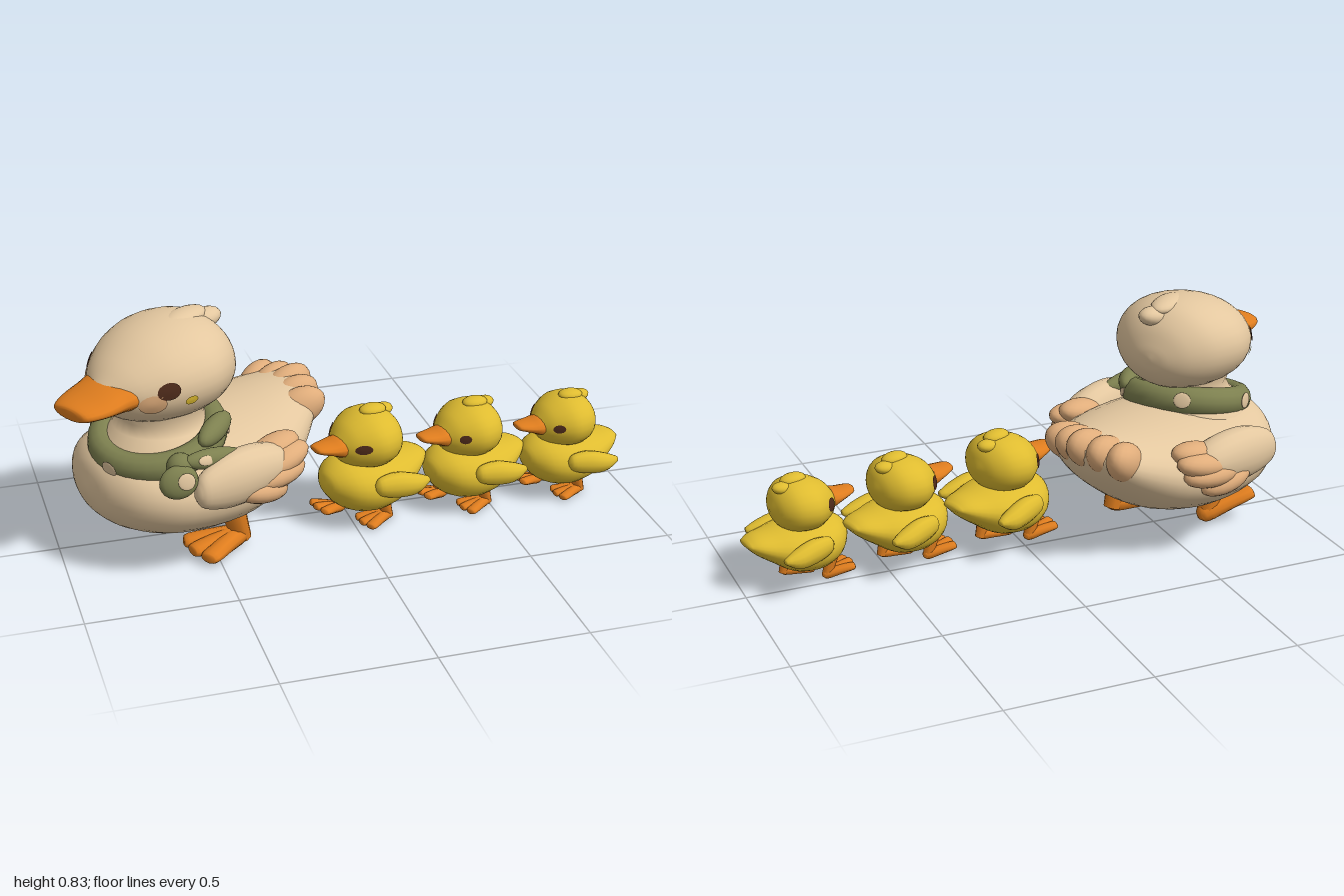
import * as THREE from 'three';

const mat = (name, color, side = THREE.FrontSide) => {
  const m = new THREE.MeshStandardMaterial({ color, side });
  m.name = name;
  return m;
};

// Smooth surface through stations [x, y, z, halfHeight, halfWidth], x rising
function surface(st) {
  const mid = new THREE.CatmullRomCurve3(st.map(s => new THREE.Vector3(s[0], s[1], s[2])), false, 'catmullrom', 0.5);
  const rad = new THREE.CatmullRomCurve3(st.map(s => new THREE.Vector3(s[3], s[4], 0)), false, 'catmullrom', 0.5);
  return (t, a, grow = 0) => {
    const c = mid.getPoint(t), r = rad.getPoint(t);
    c.y += (Math.max(r.x, 0.002) + grow) * Math.cos(a);
    c.z += (Math.max(r.y, 0.002) + grow) * Math.sin(a);
    return c;
  };
}

function buildGeometry(points, index) {
  const g = new THREE.BufferGeometry().setFromPoints(points);
  g.setIndex(index);
  g.computeVertexNormals();
  return g;
}

// Closed solid from the stations
function loft(st, rows = 24, seg = 24) {
  const f = surface(st), pts = [], idx = [];
  for (let i = 0; i <= rows; i++)
    for (let j = 0; j < seg; j++) pts.push(f(i / rows, j / seg * Math.PI * 2));
  const first = pts.length, last = rows * seg;
  for (const s of [st[0], st[st.length - 1]]) pts.push(new THREE.Vector3(s[0], s[1], s[2]));
  for (let j = 0; j < seg; j++) {
    const k = (j + 1) % seg;
    for (let i = 0; i < rows; i++) {
      const a = i * seg, b = a + seg;
      idx.push(a + j, a + k, b + j, a + k, b + k, b + j);
    }
    idx.push(first, k, j, first + 1, last + j, last + k);
  }
  return buildGeometry(pts, idx);
}

// Thin oval laid on a lofted surface
function patch(st, t, a, rt, ra) {
  const f = surface(st), n = 16, rings = 3, pts = [f(t, a, 0.005)], idx = [];
  for (let r = 1; r <= rings; r++)
    for (let j = 0; j < n; j++) {
      const w = j / n * Math.PI * 2, k = r / rings;
      pts.push(f(t + rt * k * Math.cos(w), a + ra * k * Math.sin(w), 0.004));
      const j2 = (j + 1) % n, o = 1 + (r - 1) * n, p = o - n;
      if (r === 1) idx.push(0, o + j, o + j2);
      else idx.push(p + j, o + j, o + j2, p + j, o + j2, p + j2);
    }
  return buildGeometry(pts, idx);
}

function add(parent, name, geo, material, pos = [0, 0, 0], rot = [0, 0, 0], scale = [1, 1, 1]) {
  const m = new THREE.Mesh(geo, material);
  m.name = name;
  m.position.set(...pos);
  m.rotation.set(...rot);
  m.scale.set(...scale);
  parent.add(m);
  return m;
}

function group(parent, name, pos = [0, 0, 0], yaw = 0) {
  const g = new THREE.Group();
  g.name = name;
  g.position.set(...pos);
  g.rotation.y = yaw;
  parent.add(g);
  return g;
}

export function createModel() {
  const model = new THREE.Group();
  model.name = 'duckFamily';
  const cream = mat('cream', 0xe3c79f), tan = mat('tan', 0xe0ad7b, THREE.DoubleSide);
  const yellow = mat('yellow', 0xdfbc30, THREE.DoubleSide), orange = mat('orange', 0xdf7d1e);
  const green = mat('green', 0x7d804f), brown = mat('brown', 0x4d2a1a, THREE.DoubleSide);
  const ball = new THREE.SphereGeometry(1, 18, 12);

  // Webbed foot: heel at the origin, toes towards -x
  const toeGeo = loft([[-0.185, 0.02, 0, 0.01, 0.014], [-0.17, 0.022, 0, 0.02, 0.034], [-0.08, 0.03, 0, 0.028, 0.033],
    [0, 0.034, 0, 0.03, 0.03], [0.025, 0.034, 0, 0.008, 0.008]], 12, 10);
  const webGeo = loft([[-0.155, 0.018, 0, 0.012, 0.075], [-0.08, 0.024, 0, 0.02, 0.055], [0, 0.03, 0, 0.02, 0.02]], 8, 12);
  const legGeo = new THREE.CylinderGeometry(0.044, 0.03, 0.14, 10);
  function foot(parent, x, y, z, s, tilt) {
    const g = group(parent, 'foot', [x, y, z]);
    g.scale.setScalar(s);
    const sole = group(g, 'sole');
    sole.rotation.z = -tilt;
    for (const k of [-1, 0, 1]) add(sole, 'toe', toeGeo, orange, [0, 0, 0], [0, k * 0.4, 0]);
    add(sole, 'web', webGeo, orange);
    add(g, 'leg', legGeo, orange, [-0.012, 0.085, 0], [0, 0, 0.3]);
  }

  // Mother body
  const mother = group(model, 'motherDuck', [-0.52, 0, 0], 0.35);
  add(mother, 'body', loft([[-0.425, 0.29, 0, 0.02, 0.02], [-0.4, 0.295, 0, 0.09, 0.13], [-0.33, 0.29, 0, 0.145, 0.235],
    [-0.2, 0.275, 0, 0.172, 0.31], [0, 0.275, 0, 0.178, 0.335], [0.18, 0.298, -0.01, 0.16, 0.3], [0.32, 0.345, -0.03, 0.12, 0.225],
    [0.42, 0.395, -0.045, 0.075, 0.15], [0.465, 0.42, -0.05, 0.02, 0.07]], 32, 32), cream);
  foot(mother, 0.06, 0.005, 0.165, 1.05, 0.05);
  foot(mother, -0.115, 0.012, -0.13, 1.05, 0.45);

  // Tail fan
  for (let k = -2; k <= 2; k++)
    add(mother, 'tailFeather', ball, tan, [0.4 - 0.02 * Math.abs(k), 0.415 - 0.012 * Math.abs(k), -0.045 + 0.062 * k],
      [0, -0.2 * k, 0.45], [0.105, 0.068, 0.058]);

  // Mother wings with darker feather tips
  const wingGeo = loft([[-0.21, 0.34, 0, 0.02, 0.015], [-0.18, 0.345, 0, 0.062, 0.04], [-0.08, 0.35, 0, 0.093, 0.066],
    [0.03, 0.352, 0, 0.09, 0.072], [0.12, 0.35, 0, 0.065, 0.06], [0.17, 0.35, 0, 0.02, 0.02]], 20, 18);
  for (const s of [1, -1]) {
    const wing = group(mother, s > 0 ? 'leftWing' : 'rightWing', [0, 0, s * 0.313], s * 0.1);
    add(wing, 'wingTop', wingGeo, cream);
    for (const [x, y, z, r, l] of [[0.13, 0.385, -0.025, 0.2, 0.1], [0.13, 0.36, 0.014, 0.2, 0.11],
      [0.1, 0.322, 0.024, 0.05, 0.115], [0.035, 0.286, 0.024, -0.2, 0.105]])
      add(wing, 'wingFeather', ball, tan, [x, y, s * z], [0, 0, r], [l, 0.044, 0.058]);
  }

  // Neck
  add(model, 'neck', new THREE.LatheGeometry([[0.24, 0.36], [0.215, 0.42], [0.16, 0.475], [0.142, 0.51], [0.16, 0.56], [0.17, 0.6]]
    .map(p => new THREE.Vector2(...p)), 28), cream, [-0.65, 0, 0.075]);

  // Mother head
  const head = group(model, 'motherHead', [-0.64, 0, 0.068], 0.57);
  const headSt = [[-0.28, 0.645, 0, 0.02, 0.03], [-0.26, 0.645, 0, 0.045, 0.065], [-0.2, 0.647, 0, 0.1, 0.14],
    [-0.1, 0.658, 0, 0.145, 0.208], [0.02, 0.668, 0, 0.162, 0.236], [0.13, 0.669, 0, 0.15, 0.203],
    [0.2, 0.66, 0, 0.108, 0.14], [0.235, 0.65, 0, 0.05, 0.07], [0.245, 0.65, 0, 0.01, 0.01]];
  add(head, 'skull', loft(headSt, 32, 32), cream);
  add(head, 'beak', loft([[-0.402, 0.63, 0, 0.014, 0.04], [-0.39, 0.631, 0, 0.024, 0.08], [-0.33, 0.635, 0, 0.032, 0.108],
    [-0.26, 0.642, 0, 0.046, 0.118], [-0.21, 0.646, 0, 0.053, 0.122], [-0.16, 0.646, 0, 0.03, 0.06]], 20, 20), orange);
  for (const s of [1, -1]) {
    add(head, 'eye', patch(headSt, 0.325, s * 1.43, 0.038, 0.21), brown);
    add(head, 'cheek', patch(headSt, 0.268, s * 1.74, 0.05, 0.3), tan);
    add(head, 'cheekSpot', patch(headSt, 0.4, s * 1.76, 0.022, 0.1), yellow);
  }
  add(head, 'crestFeather', ball, cream, [0.09, 0.808, 0.02], [0, 0.1, 0], [0.1, 0.028, 0.05]);
  add(head, 'crestFeather', ball, cream, [0.165, 0.782, 0.03], [0, -0.15, 0.15], [0.07, 0.034, 0.045]);

  // Neckerchief with knot, ends and pale patches
  const scarf = group(model, 'scarf', [-0.665, 0.438, 0.095]);
  scarf.rotation.set(0.18, 0, 0.15);
  add(scarf, 'scarfBand', new THREE.TorusGeometry(0.187, 0.045, 12, 36), green, [0, 0, 0], [Math.PI / 2, 0, 0], [1, 1, 1.1]);
  for (const a of [-0.95, -2.5, 1.3, 2.6])
    add(scarf, 'scarfPatch', ball, cream, [0.231 * Math.sin(a), 0.005, 0.231 * Math.cos(a)], [0, a, 0], [0.03, 0.028, 0.005]);
  add(model, 'scarfKnot', ball, green, [-0.64, 0.42, 0.325], [0, 0, 0], [0.045, 0.045, 0.045]);
  add(model, 'scarfEnd', ball, green, [-0.655, 0.388, 0.368], [-0.25, 0, 0.2], [0.064, 0.055, 0.03]);
  add(model, 'scarfEnd', ball, green, [-0.53, 0.43, 0.315], [-0.2, 0.3, -0.05], [0.11, 0.034, 0.032]);
  add(model, 'scarfLoop', ball, green, [-0.5, 0.48, 0.21], [0, 0.9, 0.1], [0.1, 0.04, 0.038]);
  add(model, 'scarfPatch', ball, cream, [-0.635, 0.4, 0.397], [-0.25, 0, 0.2], [0.028, 0.028, 0.005]);
  add(model, 'scarfPatch', ball, cream, [-0.56, 0.442, 0.351], [-0.35, 0.3, 0], [0.028, 0.016, 0.005]);

  // Duckling shapes
  const babyBody = loft([[-0.165, 0.17, 0, 0.01, 0.01], [-0.15, 0.17, 0, 0.045, 0.06], [-0.1, 0.16, 0, 0.085, 0.12],
    [-0.02, 0.152, 0, 0.1, 0.152], [0.07, 0.155, 0, 0.09, 0.145], [0.14, 0.172, 0, 0.062, 0.11],
    [0.2, 0.19, 0, 0.036, 0.075], [0.235, 0.2, 0, 0.01, 0.04]]);
  const babyHeadSt = [[-0.125, 0.3, 0, 0.015, 0.02], [-0.11, 0.3, 0, 0.042, 0.052], [-0.075, 0.305, 0, 0.076, 0.095],
    [-0.01, 0.31, 0, 0.1, 0.136], [0.06, 0.312, 0, 0.095, 0.125], [0.105, 0.31, 0, 0.062, 0.078], [0.125, 0.31, 0, 0.012, 0.015]];
  const babyHead = loft(babyHeadSt);
  const babyBeak = loft([[-0.207, 0.318, 0, 0.007, 0.016], [-0.195, 0.316, 0, 0.014, 0.036], [-0.145, 0.308, 0, 0.024, 0.054],
    [-0.105, 0.304, 0, 0.036, 0.058], [-0.07, 0.304, 0, 0.02, 0.04]], 14, 14);
  const babyWing = loft([[-0.085, 0.185, 0, 0.01, 0.008], [-0.065, 0.184, 0, 0.034, 0.026], [0, 0.178, 0, 0.046, 0.038],
    [0.07, 0.168, 0, 0.036, 0.036], [0.12, 0.172, 0, 0.01, 0.014]], 14, 12);

  // Three ducklings in a row: x, size, yaw, eye length
  for (const [x, s, yaw, eye] of [[0.05, 1, 0.32, 0.075], [0.42, 0.95, 0.27, 0.055], [0.775, 0.91, 0.18, 0.06]]) {
    const d = group(model, 'duckling', [x, 0, 0.07], yaw);
    d.scale.setScalar(s);
    add(d, 'body', babyBody, yellow);
    add(d, 'head', babyHead, yellow);
    add(d, 'beak', babyBeak, orange);
    add(d, 'headTuft', ball, yellow, [0.03, 0.406, 0.005], [0, 0, -0.05], [0.05, 0.022, 0.036]);
    add(d, 'headTuft', ball, yellow, [0.078, 0.388, -0.01], [0, 0, 0.1], [0.042, 0.022, 0.032]);
    for (const side of [1, -1]) {
      add(d, 'wing', babyWing, yellow, [0.035, 0, side * 0.148], [0, -side * 0.12, 0]);
      add(d, 'eye', patch(babyHeadSt, 0.335, side * 1.42, side > 0 ? eye : 0.07, side > 0 ? 0.2 : 0.32), brown);
    }
    foot(d, -0.06, 0.01, -0.065, 0.6, 0.35);
    foot(d, 0.055, 0.003, 0.06, 0.6, 0.05);
  }
  return model;
}
